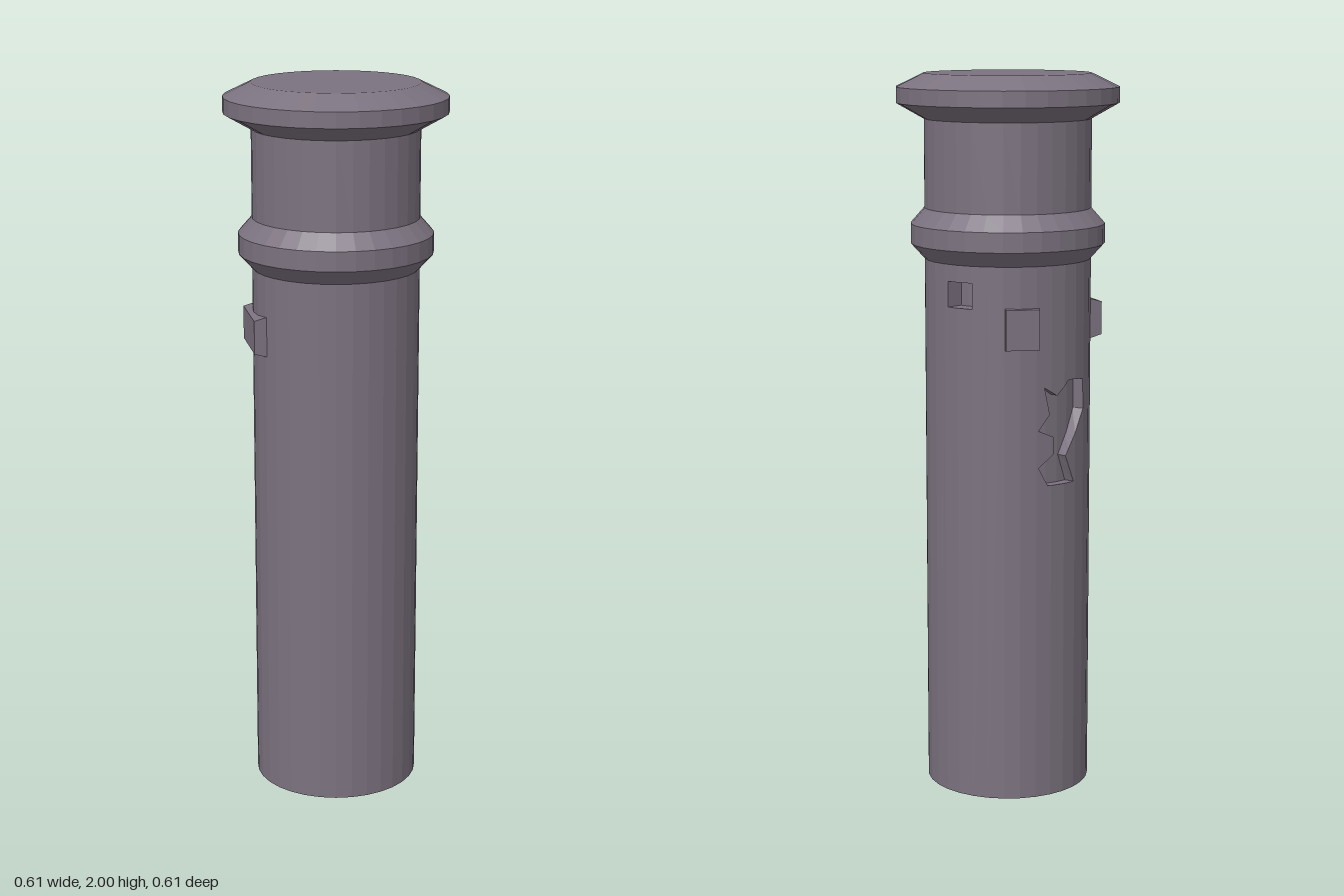
import * as THREE from 'three';

const SIDES = 32, STEP = 360 / SIDES, R = 0.23, SHAFT_TOP = 1.5;

// Faceted normals for any geometry
function flat(geo) {
  const g = geo.index ? geo.toNonIndexed() : geo;
  g.computeVertexNormals();
  return g;
}

// Point on the 32-sided shaft; angle in degrees from the back (-z) towards -x
function onShaft(angle, y, depth = 0) {
  const k = Math.floor(angle / STEP + 1e-6), f = angle / STEP - k;
  const corner = i => {
    const a = THREE.MathUtils.degToRad(i * STEP);
    return new THREE.Vector3(-Math.sin(a) * (R - depth), y, -Math.cos(a) * (R - depth));
  };
  return corner(k).lerp(corner(k + 1), f);
}

// Recesses cut in the shaft, counter-clockwise outlines of [angle, y]
const recesses = [
  { depth: 0.05, outline: [[-19.5, 1.38], [0.5, 1.38], [0.5, 1.45], [-19.5, 1.45]] },
  {
    depth: 0.03,
    outline: [[89, 1.173], [72, 1.18], [61, 1.14], [51, 1.165], [55, 1.09], [46.5, 1.047], [58.2, 1.027],
      [58, 0.979], [46.6, 0.944], [53.6, 0.893], [77.3, 0.892], [68.7, 0.969], [77.3, 1.018], [89.6, 1.089]],
  },
];

// Shaft skin in vertical columns, with openings, recess floors and recess walls
function shaftGeometry() {
  const pos = [];
  const quad = (a, b, c, d) => [a, b, c, a, c, d].forEach(p => pos.push(p.x, p.y, p.z));
  const edges = [];
  let cuts = Array.from({ length: SIDES + 1 }, (_, i) => -180 + i * STEP);
  for (const { depth, outline } of recesses) {
    outline.forEach((p, i) => {
      edges.push({ p, q: outline[(i + 1) % outline.length], depth });
      cuts.push(p[0]);
    });
  }
  cuts = [...new Set(cuts)].sort((a, b) => a - b);
  const yAt = (e, x) => e.p[1] + (e.q[1] - e.p[1]) * (x - e.p[0]) / (e.q[0] - e.p[0]);
  const wall = (a, ya, b, yb, d) =>
    quad(onShaft(a, ya), onShaft(b, yb), onShaft(b, yb, d), onShaft(a, ya, d));

  for (let i = 0; i < cuts.length - 1; i++) {
    const a = cuts[i], b = cuts[i + 1], mid = (a + b) / 2;
    const last = THREE.MathUtils.clamp(b, -180, 180);
    const crossing = edges
      .filter(e => Math.min(e.p[0], e.q[0]) < mid && Math.max(e.p[0], e.q[0]) > mid)
      .sort((e, f) => yAt(e, mid) - yAt(f, mid));
    const levels = [[0, 0], ...crossing.map(e => [yAt(e, a), yAt(e, last)]), [SHAFT_TOP, SHAFT_TOP]];
    for (let j = 0; j < levels.length - 1; j++) {
      const [la, lb] = levels[j], [ha, hb] = levels[j + 1];
      const d = j % 2 ? crossing[j].depth : 0;
      quad(onShaft(a, la, d), onShaft(b, lb, d), onShaft(b, hb, d), onShaft(a, ha, d));
    }
    for (const e of crossing) {
      if (e.p[0] < e.q[0]) wall(a, yAt(e, a), b, yAt(e, b), e.depth);
      else wall(b, yAt(e, b), a, yAt(e, a), e.depth);
    }
  }
  // Upright recess walls
  for (const { p, q, depth } of edges) {
    if (p[0] === q[0]) wall(p[0], p[1], q[0], q[1], depth);
  }
  const g = new THREE.BufferGeometry();
  g.setAttribute('position', new THREE.Float32BufferAttribute(pos, 3));
  return flat(g);
}

// Block standing out of the shaft, its outer face lower than its root
function blockGeometry(width, height, outerHeight, inner, outer) {
  const g = new THREE.BoxGeometry(width, height, outer - inner);
  const p = g.attributes.position;
  for (let i = 0; i < p.count; i++) {
    if (p.getZ(i) > 0) p.setY(i, p.getY(i) * outerHeight / height);
  }
  g.translate(0, 0, (inner + outer) / 2);
  return flat(g);
}

export function createModel() {
  const group = new THREE.Group();
  const stone = new THREE.MeshStandardMaterial({ color: 0x7b727f });
  stone.name = 'greyStone';
  const add = (name, geo) => {
    const mesh = new THREE.Mesh(geo, stone);
    mesh.name = name;
    group.add(mesh);
    return mesh;
  };
  const turned = (name, points) =>
    add(name, flat(new THREE.LatheGeometry(points.map(p => new THREE.Vector2(...p)), SIDES)));

  add('shaft', shaftGeometry());
  turned('base', [[0, 0], [R, 0]]);
  turned('collar', [[R, 1.496], [0.268, 1.538], [0.268, 1.592], [R, 1.635]]);
  turned('neck', [[R, 1.63], [R, 1.88]]);
  turned('cap', [[R, 1.877], [0.306, 1.92], [0.306, 1.963], [R, 2], [0, 2]]);

  // Raised blocks on the shaft
  const frontBlock = add('frontBlock', blockGeometry(0.186, 0.122, 0.092, 0.19, 0.244));
  frontBlock.position.y = 1.327;
  frontBlock.rotation.y = THREE.MathUtils.degToRad(-45);
  const backBlock = add('backBlock', blockGeometry(0.092, 0.122, 0.11, 0.19, 0.24));
  backBlock.position.y = 1.327;
  backBlock.rotation.y = THREE.MathUtils.degToRad(215);

  return group;
}
